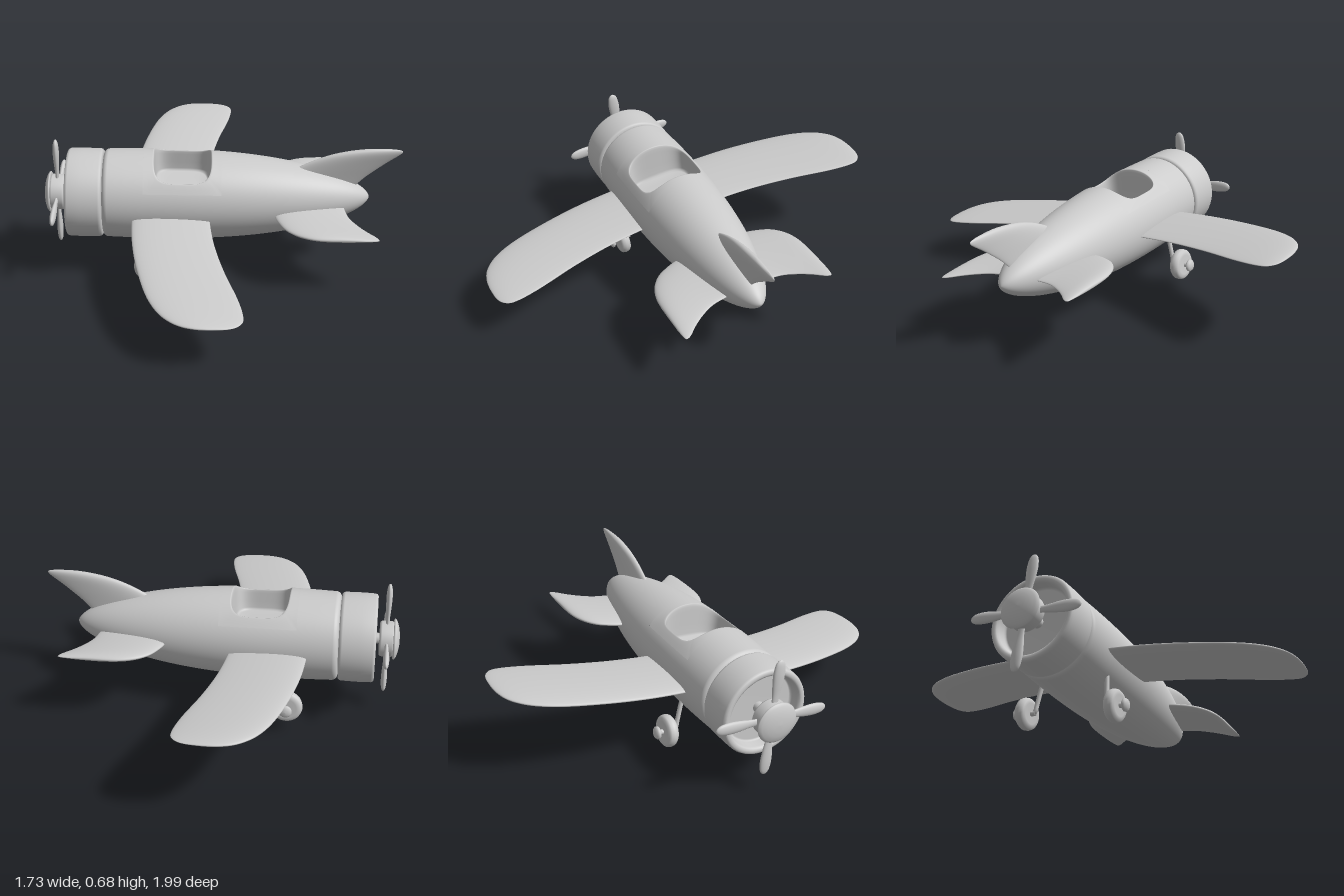
import * as THREE from 'three';
import { mergeVertices } from 'three/addons/utils/BufferGeometryUtils.js';

const material = new THREE.MeshStandardMaterial({ color: 0xcccccc });
const { lerp } = THREE.MathUtils;
const V2 = (list) => list.map(([r, h]) => new THREE.Vector2(r, h));

function part(name, geometry, parent) {
  const mesh = new THREE.Mesh(geometry, material);
  mesh.name = name;
  parent.add(mesh);
  return mesh;
}

// Smooth grid surface from fn(i, j); keep(i, j) can leave quads out as a hole.
function surface(nu, nv, fn, keep = () => true) {
  const positions = [], all = [], kept = [];
  for (let i = 0; i <= nu; i++) for (let j = 0; j <= nv; j++) positions.push(...fn(i, j));
  for (let i = 0; i < nu; i++) {
    for (let j = 0; j < nv; j++) {
      const a = i * (nv + 1) + j, b = a + nv + 1;
      all.push(a, b, a + 1, b, b + 1, a + 1);
      kept.push(keep(i, j));
    }
  }
  let geometry = new THREE.BufferGeometry();
  geometry.setAttribute('position', new THREE.Float32BufferAttribute(positions, 3));
  geometry.setIndex(all);
  geometry = mergeVertices(geometry, 1e-5);
  geometry.computeVertexNormals();
  const index = Array.from(geometry.index.array);
  geometry.setIndex(index.filter((_, k) => kept[Math.floor(k / 6)]));
  return geometry;
}

// Turned shape around the x axis, profile as [radius, x]
const turned = (profile) => new THREE.LatheGeometry(V2(profile), 64).rotateZ(-Math.PI / 2);

// Body radius along x: rounded front corner, long taper to the tail
function bodyRadius(x) {
  if (x > -0.3) return 0.22 * Math.pow(Math.max(0, 1 - Math.pow((x + 0.3) / 1.025, 2.2)), 0.6);
  const c = Math.min(1, Math.max(0, (-0.55 - x) / 0.025));
  return 0.22 - 0.006 * ((x + 0.3) / 0.27) ** 2 - 0.025 * (1 - Math.sqrt(1 - c * c));
}

const WINDOW = { x: -0.195, halfX: 0.185, halfAngle: Math.PI / 3 };

function fuselage() {
  const rows = [];
  for (let i = 0; i <= 6; i++) rows.push(-0.55 - 0.025 * Math.cos((i / 6) * Math.PI / 2));
  rows.push(-0.47);
  const first = rows.length + 1;
  for (let i = 0; i <= 16; i++) rows.push(WINDOW.x + WINDOW.halfX * (i / 8 - 1));
  for (let i = 1; i <= 30; i++) rows.push(-0.01 + 0.735 * Math.sin((i / 30) * Math.PI / 2));
  const n = 96;
  return surface(rows.length, n, (i, j) => {
    const x = rows[Math.max(0, i - 1)];
    const r = i === 0 ? 0 : bodyRadius(x);
    const a = Math.PI * (1 - (2 * j) / n);
    return [x, r * Math.cos(a), r * Math.sin(a)];
  }, (i, j) => i < first || i >= first + 16 || j < 32 || j >= 64);
}

// Skin around the opening, rounded lip, walls and floor, as inward rings:
// [blend from window to opening, scale, depth towards floor]
function cockpit() {
  const rings = [[0, 1, 0], [0.5, 1, 0], [0.9, 1, 0], [1, 1, 0], [1, 0.985, 0.02], [1, 0.97, 0.08],
    [1, 0.965, 0.2], [1, 0.95, 0.6], [1, 0.94, 0.88], [1, 0.92, 0.96], [1, 0.87, 1], [1, 0.5, 1], [1, 0, 1]];
  return surface(rings.length - 1, 128, (i, j) => {
    const [blend, scale, depth] = rings[i];
    const a = (j / 128) * Math.PI * 2, c = Math.cos(a), s = Math.sin(a);
    const square = 1 / Math.max(Math.abs(c), Math.abs(s));
    const round = Math.pow(c ** 4 + s ** 4, -0.25);
    const x = WINDOW.x + c * lerp(WINDOW.halfX * square, 0.14 * round * scale, blend);
    const angle = s * lerp(WINDOW.halfAngle * square, 0.82 * round * scale, blend);
    const r = bodyRadius(x);
    return [x, lerp(r * Math.cos(angle), 0.04, depth), r * Math.sin(angle)];
  });
}

// Thin rounded surface spanning z from stations [span, leading x, trailing x]
function foil(stations, half) {
  const curve = new THREE.CatmullRomCurve3(stations.map((s) => new THREE.Vector3(...s)));
  const span = Math.max(...stations.map((s) => s[0]));
  const nu = (stations.length - 1) * 6;
  return surface(nu, 40, (i, j) => {
    const p = curve.getPoint(i / nu), a = (j / 40) * Math.PI * 2;
    const edge = Math.sqrt(Math.max(0, 1 - Math.min(1, Math.abs(p.x) / span) ** 14));
    const c = Math.cos(a);
    // thicker towards the leading edge
    const y = -half * edge * Math.sin(a) * (1 - 0.25 * c);
    return [(p.y + p.z) / 2 + ((p.z - p.y) / 2) * c, y, p.x];
  });
}

const bothSides = (list) => [...list.slice(1).reverse().map(([s, a, b]) => [-s, a, b]), ...list];

function propeller() {
  const group = new THREE.Group();
  group.name = 'propeller';
  part('spinner', turned([[0, -0.862], [0.03, -0.861], [0.06, -0.856], [0.085, -0.848], [0.097, -0.84],
    [0.099, -0.835], [0.094, -0.831], [0.06, -0.83], [0, -0.83]]), group);
  part('hub', turned([[0, -0.835], [0.075, -0.835], [0.083, -0.832], [0.086, -0.824], [0.086, -0.776],
    [0.083, -0.768], [0.075, -0.765], [0, -0.765]]), group);
  part('shaft', new THREE.CylinderGeometry(0.026, 0.026, 0.12, 24).rotateZ(Math.PI / 2).translate(-0.72, 0, 0), group);
  const profile = new THREE.SplineCurve(V2([[0.016, 0.05], [0.018, 0.11], [0.026, 0.17], [0.029, 0.22],
    [0.024, 0.262], [0.013, 0.282], [0, 0.288]])).getPoints(28);
  profile[28].x = 0;
  for (let i = 0; i < 4; i++) {
    const blade = new THREE.LatheGeometry(profile, 24).scale(0.5, 1, 1);
    part('blade', blade.rotateX((i * Math.PI) / 2).translate(-0.8, 0, 0), group);
  }
  return group;
}

// Landing gear for the +z side, around its own x = 0
function landingGear() {
  const group = new THREE.Group();
  const along = (profile, z) => new THREE.LatheGeometry(V2(profile), 40).rotateX(Math.PI / 2).translate(0, -0.272, z);
  part('wheel', along([[0, -0.024], [0.05, -0.026], [0.066, -0.024], [0.075, -0.015], [0.078, 0],
    [0.075, 0.015], [0.066, 0.024], [0.05, 0.026], [0, 0.024]], 0.237), group);
  part('axle', along([[0, -0.04], [0.012, -0.04], [0.012, 0.06], [0, 0.06]], 0.23), group);
  part('hubCap', along([[0, -0.012], [0.022, -0.012], [0.03, -0.006], [0.031, 0.002], [0.025, 0.009],
    [0.012, 0.013], [0, 0.014]], 0.291), group);
  const path = new THREE.CatmullRomCurve3([[0.172, -0.1], [0.18, -0.16], [0.188, -0.23], [0.192, -0.262],
    [0.204, -0.272], [0.23, -0.272]].map(([z, y]) => new THREE.Vector3(0, y, z)));
  part('strut', new THREE.TubeGeometry(path, 32, 0.011, 14), group);
  return group;
}

export function createModel() {
  const model = new THREE.Group();
  model.name = 'airplane';
  // The whole plane banks and noses up slightly
  const plane = new THREE.Group();
  plane.name = 'plane';
  plane.position.set(0, 0.372, 0);
  plane.rotation.set(0.125, 0, -0.03);
  model.add(plane);

  part('fuselage', fuselage(), plane);
  part('cockpit', cockpit(), plane);
  part('cowling', turned([[0, -0.69], [0.165, -0.69], [0.172, -0.693], [0.176, -0.7], [0.178, -0.735],
    [0.183, -0.746], [0.192, -0.75], [0.202, -0.75], [0.21, -0.746], [0.214, -0.736], [0.216, -0.68],
    [0.215, -0.594], [0.212, -0.584], [0.204, -0.578], [0.19, -0.577], [0, -0.577]]), plane);
  plane.add(propeller());

  // Wings and tail surfaces
  part('wing', foil(bothSides([[0, -0.43, -0.065], [0.2, -0.432, -0.062], [0.4, -0.42, -0.043],
    [0.6, -0.388, -0.003], [0.8, -0.335, 0.052], [0.9, -0.285, 0.07], [0.95, -0.24, 0.068],
    [0.98, -0.195, 0.045], [0.997, -0.14, 0.005], [1.003, -0.08, -0.07]]), 0.02), plane).position.y = -0.025;
  part('tailplane', foil(bothSides([[0, 0.3, 0.59], [0.1, 0.255, 0.592], [0.18, 0.25, 0.605],
    [0.25, 0.272, 0.64], [0.3, 0.3, 0.676], [0.34, 0.345, 0.712], [0.36, 0.385, 0.724],
    [0.373, 0.43, 0.72], [0.38, 0.5, 0.66]]), 0.021), plane).position.y = -0.01;
  part('fin', foil([[0, 0.2, 0.6], [0.1, 0.27, 0.685], [0.163, 0.37, 0.755], [0.2, 0.44, 0.8],
    [0.23, 0.515, 0.84], [0.25, 0.59, 0.862], [0.262, 0.66, 0.858], [0.269, 0.72, 0.82]], 0.021),
  plane).rotation.x = -Math.PI / 2;

  for (const side of [1, -1]) {
    const gear = landingGear();
    gear.name = side > 0 ? 'leftLandingGear' : 'rightLandingGear';
    gear.position.x = -0.345;
    gear.rotation.y = side > 0 ? 0 : Math.PI;
    plane.add(gear);
  }
  return model;
}
